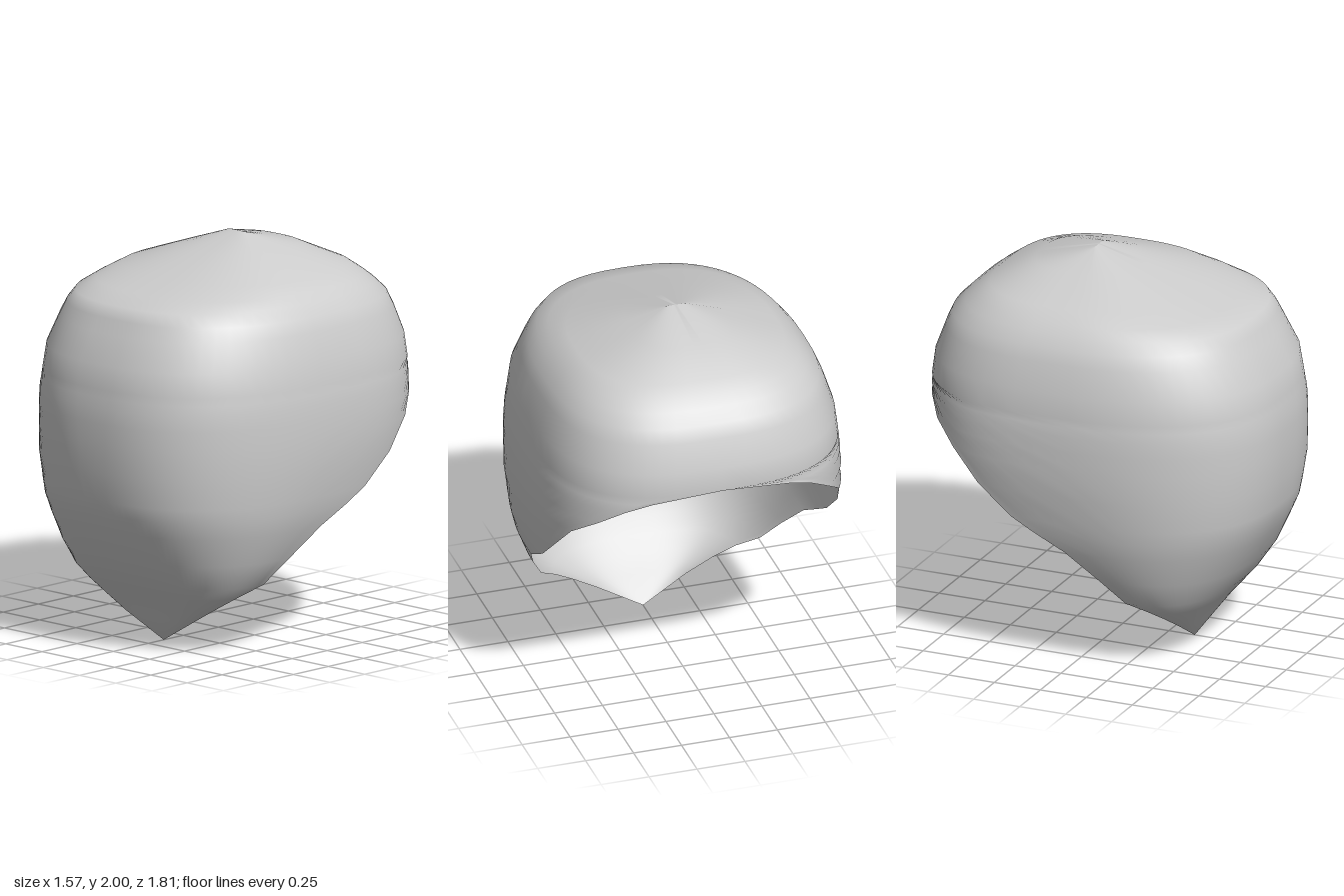
import * as THREE from 'three';
import { mergeVertices } from 'three/addons/utils/BufferGeometryUtils.js';

// Horizontal sections: [height, half width, front z, z of widest point, rear z].
// Below OPEN_Y the rear z is the cut rim; above it the section is closed.
const SECTIONS = [
  [0.0, 0.0, 0.39, 0.39, 0.39],
  [0.13, 0.23, 0.48, 0.41, 0.41],
  [0.21, 0.36, 0.54, 0.39, 0.39],
  [0.28, 0.47, 0.6, 0.35, 0.35],
  [0.35, 0.57, 0.66, 0.27, 0.27],
  [0.48, 0.645, 0.75, 0.17, 0.16],
  [0.63, 0.71, 0.82, 0.08, 0.0],
  [0.72, 0.735, 0.86, 0.04, -0.16],
  [0.79, 0.75, 0.875, 0.0, -0.28],
  [0.94, 0.775, 0.9, -0.05, -0.46],
  [1.09, 0.785, 0.905, -0.1, -0.61],
  [1.19, 0.785, 0.905, -0.1, -0.74],
  [1.27, 0.78, 0.9, -0.1, -0.82],
  [1.32, 0.775, 0.89, -0.1, -0.87],
  [1.36, 0.77, 0.885, -0.1, -0.905],
  [1.48, 0.755, 0.865, -0.1, -0.89],
  [1.62, 0.71, 0.79, -0.1, -0.84],
  [1.69, 0.68, 0.755, -0.1, -0.81],
  [1.75, 0.63, 0.72, -0.1, -0.75],
  [1.79, 0.59, 0.58, -0.1, -0.7],
  [1.84, 0.52, 0.41, -0.12, -0.63],
  [1.93, 0.26, 0.11, -0.13, -0.44],
  [2.0, 0.05, -0.13, -0.13, -0.13],
];
const OPEN_Y = 1.36;
const REAR = -0.905;
const COLUMNS = 64;

// Rounded-box outline, softer at the front than at the rear
function outlinePoint([y, w, front, mid, rear], angle) {
  const s = Math.sin(angle);
  const c = Math.cos(angle);
  const power = 2 / (c > 0 ? 2.5 : 2.8);
  const x = w * Math.sign(s) * Math.pow(Math.abs(s), power);
  const reach = c > 0 ? front - mid : (y < OPEN_Y ? REAR : rear) - mid;
  return [x, y, mid + reach * Math.pow(Math.abs(c), power)];
}

// Angle at which the outline meets the rim (PI when closed)
function endAngle([y, , , mid, rear]) {
  if (y >= OPEN_Y) return Math.PI;
  const t = (mid - rear) / (mid - REAR);
  return Math.PI / 2 + Math.asin(Math.min(1, Math.pow(t, 1.4)));
}

function shellGeometry() {
  const positions = [];
  const indices = [];
  SECTIONS.forEach((section, row) => {
    const end = endAngle(section);
    for (let i = 0; i <= COLUMNS; i++) {
      positions.push(...outlinePoint(section, end * ((2 * i) / COLUMNS - 1)));
      if (row < SECTIONS.length - 1 && i < COLUMNS) {
        const a = row * (COLUMNS + 1) + i;
        const b = a + COLUMNS + 1;
        if (row > 0) indices.push(a, a + 1, b); // the first row is a single point
        indices.push(a + 1, b + 1, b);
      }
    }
  });
  const geometry = new THREE.BufferGeometry();
  geometry.setAttribute('position', new THREE.Float32BufferAttribute(positions, 3));
  geometry.setIndex(indices);
  const welded = mergeVertices(geometry, 1e-4); // closes the rear seam
  welded.computeVertexNormals();
  return welded;
}

export function createModel() {
  const group = new THREE.Group();
  group.name = 'hood';
  const material = new THREE.MeshStandardMaterial({ color: 0xcccccc, side: THREE.DoubleSide });
  material.name = 'light grey';
  const shell = new THREE.Mesh(shellGeometry(), material);
  shell.name = 'hoodShell';
  group.add(shell);
  return group;
}
